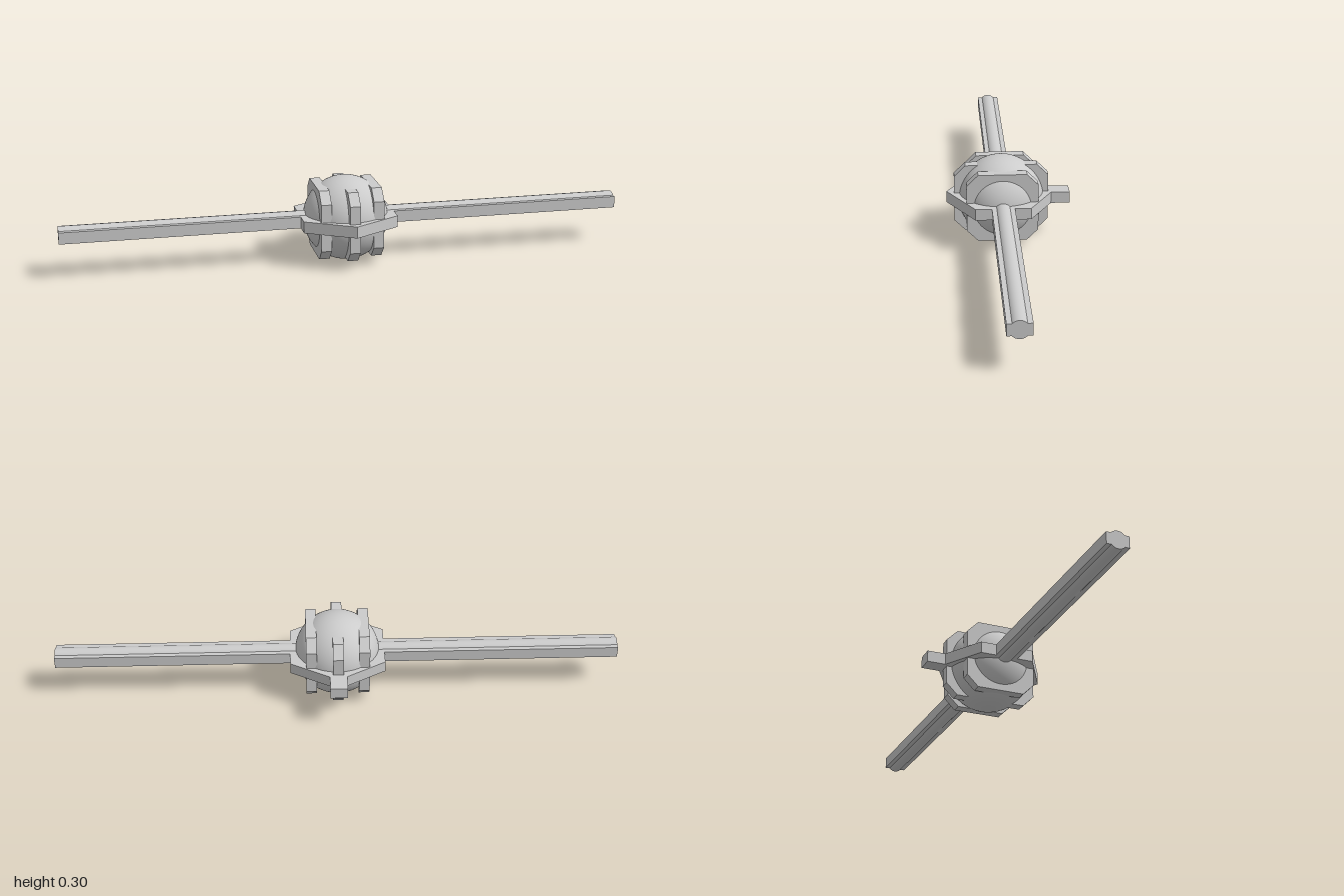
import * as THREE from 'three';

const CY = 0.152, CZ = 0.025; // centre of the ball

export function createModel() {
  const group = new THREE.Group();
  const mat = new THREE.MeshStandardMaterial({ color: 0xcccccc });
  const add = (name, geo, x = 0, y = 0, z = 0) => {
    const mesh = new THREE.Mesh(geo, mat);
    mesh.name = name;
    mesh.position.set(x, y + CY, z + CZ);
    group.add(mesh);
    return mesh;
  };
  // Plate of the given outline, centred on its thickness
  const plate = (points, depth) => {
    const shape = new THREE.Shape(points.map(([x, y]) => new THREE.Vector2(x, y)));
    return new THREE.ExtrudeGeometry(shape, { depth, bevelEnabled: false }).translate(0, 0, -depth / 2);
  };

  add('ball', new THREE.SphereGeometry(0.15, 64, 48));

  // Upright rib plates with chamfered corners; the middle one is deeper
  const rib = (name, x, hz) => {
    const hy = 0.124, c = 0.04;
    const outline = [
      [hz, -hy + c], [hz, hy - c], [hz - c, hy], [-hz + c, hy],
      [-hz, hy - c], [-hz, -hy + c], [-hz + c, -hy], [hz - c, -hy],
    ];
    add(name, plate(outline, 0.037).rotateY(Math.PI / 2), x);
  };
  rib('middleRib', 0, 0.166);
  rib('leftRib', 0.093, 0.125);
  rib('rightRib', -0.093, 0.125);

  // Hexagonal belt with points at front and back
  const hexagon = [];
  for (let i = 0; i < 6; i++) {
    const a = Math.PI / 2 + i * Math.PI / 3;
    hexagon.push([0.193 * Math.cos(a), 0.193 * Math.sin(a)]);
  }
  add('belt', plate(hexagon, 0.041).rotateX(Math.PI / 2));

  // Tab at the back of the belt
  add('backTab', new THREE.BoxGeometry(0.06, 0.041, 0.1), 0, 0, -0.192);

  // Arms: a flat bar with a round core running through it
  for (const [name, s] of [['left', 1], ['right', -1]]) {
    add(name + 'ArmBar', new THREE.BoxGeometry(0.9, 0.041, 0.08), s * 0.55);
    add(name + 'ArmCore', new THREE.CylinderGeometry(0.031, 0.031, 0.9, 32).rotateZ(Math.PI / 2), s * 0.55);
  }
  return group;
}
